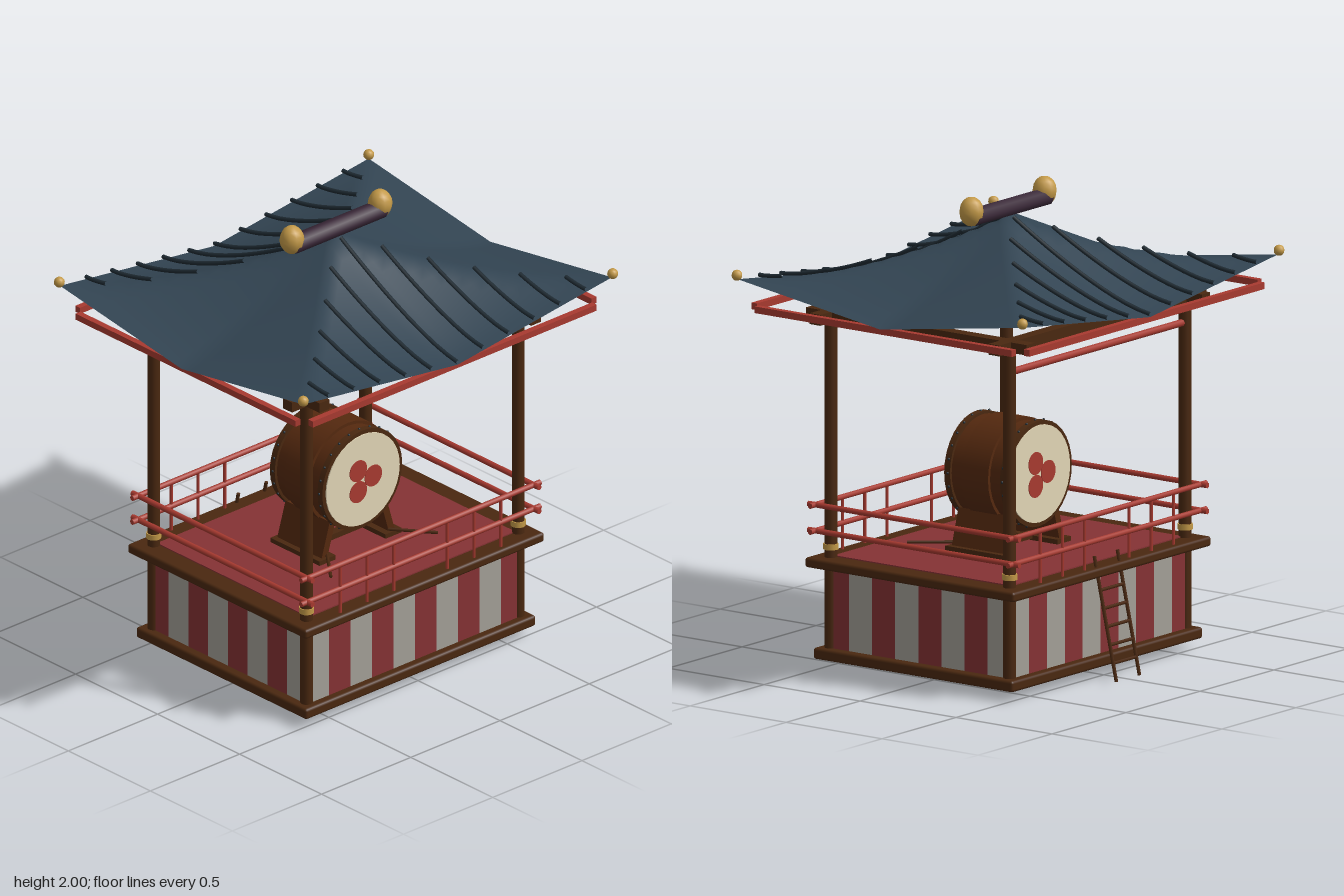
import * as THREE from 'three';
import { RoundedBoxGeometry } from 'three/addons/geometries/RoundedBoxGeometry.js';

const mat = (name, color, side = THREE.FrontSide) => {
  const m = new THREE.MeshStandardMaterial({ color, side });
  m.name = name;
  return m;
};

export function createModel() {
  const root = new THREE.Group();
  root.name = 'drumTower';
  const wood = mat('dark wood', 0x4a2810);
  const drumWood = mat('drum wood', 0x55290f);
  const red = mat('red lacquer', 0xa83a30);
  const clothRed = mat('cloth red', 0x853234);
  const clothWhite = mat('cloth white', 0xa39f97);
  const skin = mat('drum skin', 0xe2d6b6);
  const slate = mat('roof slate', 0x324452, THREE.DoubleSide);
  const ribDark = mat('roof rib', 0x1f2b33);
  const plum = mat('ridge plum', 0x3a2838);
  const gold = mat('gold', 0xc49a48);

  const add = (name, geo, m, x = 0, y = 0, z = 0, parent = root) => {
    const mesh = new THREE.Mesh(geo, m);
    mesh.name = name;
    mesh.position.set(x, y, z);
    parent.add(mesh);
    return mesh;
  };
  const box = (name, w, h, d, m, x, y, z, parent) =>
    add(name, new THREE.BoxGeometry(w, h, d), m, x, y, z, parent);
  // Round bar between two points
  const rod = (name, a, b, r, m, sides = 8) => {
    const from = new THREE.Vector3(...a), to = new THREE.Vector3(...b);
    const dir = to.clone().sub(from);
    const mesh = add(name, new THREE.CylinderGeometry(r, r, dir.length(), sides), m);
    mesh.position.copy(from).addScaledVector(dir, 0.5);
    mesh.quaternion.setFromUnitVectors(new THREE.Vector3(0, 1, 0), dir.normalize());
    return mesh;
  };
  const SIGNS = [-1, 1];
  const PX = 0.593, PZ = 0.466;

  // Base, deck and floor
  add('baseSill', new RoundedBoxGeometry(1.29, 0.048, 1.04, 2, 0.012), wood, 0, 0.068, 0);
  box('baseCore', 1.2, 0.36, 0.95, wood, 0, 0.26, 0);
  add('deckFrame', new RoundedBoxGeometry(1.34, 0.042, 1.09, 2, 0.012), wood, 0, 0.454, 0);
  box('deckFloor', 1.16, 0.006, 0.92, clothRed, 0, 0.477, 0);

  // Striped cloth on the four sides
  const stripes = (count, distance, turn, redFirst) => {
    const side = new THREE.Group();
    side.name = 'stripedCloth';
    side.rotation.y = turn;
    root.add(side);
    for (let i = 0; i < count; i++) {
      const m = (i % 2 === 0) === redFirst ? clothRed : clothWhite;
      box('clothStripe', 0.1205, 0.34, 0.008, m, (i - (count - 1) / 2) * 0.1205, 0.262, distance, side);
    }
  };
  for (const turn of [0, Math.PI]) {
    stripes(10, 0.478, turn, false);
    stripes(8, 0.602, turn + Math.PI / 2, true);
  }

  // Posts with gold collars
  for (const sx of SIGNS) for (const sz of SIGNS) {
    rod('post', [sx * PX, 0.05, sz * PZ], [sx * PX, 1.5, sz * PZ], 0.027, wood, 12);
    rod('postCollar', [sx * PX, 0.508, sz * PZ], [sx * PX, 0.532, sz * PZ], 0.032, gold, 12);
  }

  // Railings, with balusters at the front and back
  for (const s of SIGNS) {
    for (const y of [0.586, 0.696]) {
      rod('longRail', [-0.67, y, s * 0.515], [0.67, y, s * 0.515], 0.012, red);
      rod('sideRail', [s * 0.635, y, -0.55], [s * 0.635, y, 0.55], 0.012, red);
    }
    for (const x of [-0.45, -0.3, -0.15, 0.15, 0.3, 0.45])
      rod('baluster', [x, 0.47, s * 0.515], [x, 0.696, s * 0.515], 0.007, red, 6);
  }

  // Head beams, eave beams and tie bar
  for (const s of SIGNS) {
    box('longBeam', 1.4, 0.046, 0.055, wood, 0, 1.498, s * PZ);
    box('crossBeam', 0.055, 0.044, 1.15, wood, s * PX, 1.498, 0);
    box('longEaveBeam', 1.59, 0.028, 0.028, red, 0, 1.537, s * 0.71);
    box('sideEaveBeam', 0.028, 0.028, 1.34, red, s * 0.83, 1.537, 0);
  }
  rod('tieBar', [-PX, 1.385, -PZ], [PX, 1.385, -PZ], 0.016, red);

  // Roof: sagging slopes with lifted corners
  const RX = 0.865, RZ = 0.742;
  const roofHeight = (x, z) => {
    const u = Math.min(1, Math.abs(x) / RX), v = Math.min(1, Math.abs(z) / RZ);
    return 1.55 + 0.33 * Math.pow(1 - Math.max(u, v), 1.38) + 0.11 * u * v;
  };
  const roof = new THREE.PlaneGeometry(2 * RX, 2 * RZ, 28, 28).rotateX(-Math.PI / 2);
  const p = roof.attributes.position;
  for (let i = 0; i < p.count; i++) p.setY(i, roofHeight(p.getX(i), p.getZ(i)));
  roof.computeVertexNormals();
  add('roof', roof, slate);

  // Ribs run from the eave up to the hip
  for (let i = -5; i <= 5; i++) for (const s of SIGNS) {
    const x = i * 0.144;
    const top = Math.max(0.03, (Math.abs(x) / RX) * RZ);
    const pts = [];
    for (let k = 0; k <= 8; k++) {
      const z = s * (RZ + (top - RZ) * k / 8);
      pts.push(new THREE.Vector3(x, roofHeight(x, z) + 0.012, z));
    }
    add('roofRib', new THREE.TubeGeometry(new THREE.CatmullRomCurve3(pts), 12, 0.009, 6), ribDark);
  }

  // Ridge and gold finials
  const ridge = new THREE.CylinderGeometry(0.047, 0.047, 0.5, 8).rotateZ(Math.PI / 2).scale(1, 0.78, 1);
  add('ridge', ridge, plum, 0, 1.912, 0);
  for (const sx of SIGNS) {
    add('ridgeFinial', new THREE.SphereGeometry(0.052, 10, 8).scale(1, 1.2, 1), gold, sx * 0.247, 1.938, 0);
    for (const sz of SIGNS)
      add('cornerFinial', new THREE.SphereGeometry(0.023, 10, 8), gold, sx * 0.867, 1.677, sz * 0.744);
  }

  // Drum: barrel with a raised middle band, heads and tacks
  const drum = new THREE.Group();
  drum.name = 'drum';
  drum.position.y = 0.807;
  root.add(drum);
  const barrel = (name, r, len, m, z = 0) =>
    add(name, new THREE.CylinderGeometry(r, r, len, 32).rotateX(Math.PI / 2), m, 0, 0, z, drum);
  barrel('drumBody', 0.212, 0.31, drumWood);
  barrel('drumBand', 0.226, 0.14, drumWood);
  for (const s of SIGNS) {
    const head = new THREE.Group();
    head.name = 'drumHead';
    head.rotation.y = s > 0 ? 0 : Math.PI;
    drum.add(head);
    const disc = (name, r, d, m, x, y, z) =>
      add(name, new THREE.CylinderGeometry(r, r, d, 32).rotateX(Math.PI / 2), m, x, y, z, head);
    disc('drumRim', 0.224, 0.03, wood, 0, 0, 0.145);
    disc('drumSkin', 0.206, 0.008, skin, 0, 0, 0.161);
    for (let i = 0; i < 3; i++) {
      const a = i * Math.PI * 2 / 3;
      disc('crestDot', 0.048, 0.004, red, 0.056 * Math.cos(a), 0.056 * Math.sin(a), 0.166);
    }
    for (let i = 0; i < 24; i++) {
      const a = i * Math.PI / 12;
      add('drumTack', new THREE.SphereGeometry(0.006, 6, 4), ribDark,
        0.224 * Math.cos(a), 0.224 * Math.sin(a), 0.142, head);
    }
  }

  // Drum stand and beaters
  for (const s of SIGNS) {
    const leg = box('standLeg', 0.032, 0.17, 0.27, drumWood, s * 0.168, 0.567, 0);
    leg.rotation.z = s * 0.29;
    box('standFoot', 0.09, 0.02, 0.3, wood, s * 0.185, 0.49, 0);
    rod('beater', [s * 0.17, 0.508, 0.13], [s * 0.3, 0.508, 0.295], 0.007, wood, 6);
  }
  box('standTie', 0.34, 0.025, 0.04, wood, 0, 0.5, 0);

  // Ladder at the back
  for (const s of SIGNS)
    rod('ladderRail', [s * 0.078, 0.52, -0.51], [s * 0.078, 0.004, -0.625], 0.008, wood, 6);
  for (let i = 0; i < 6; i++) {
    const y = 0.08 + i * 0.075, z = -0.625 + 0.115 * y / 0.52;
    rod('ladderRung', [-0.078, y, z], [0.078, y, z], 0.007, wood, 6);
  }
  return root;
}
